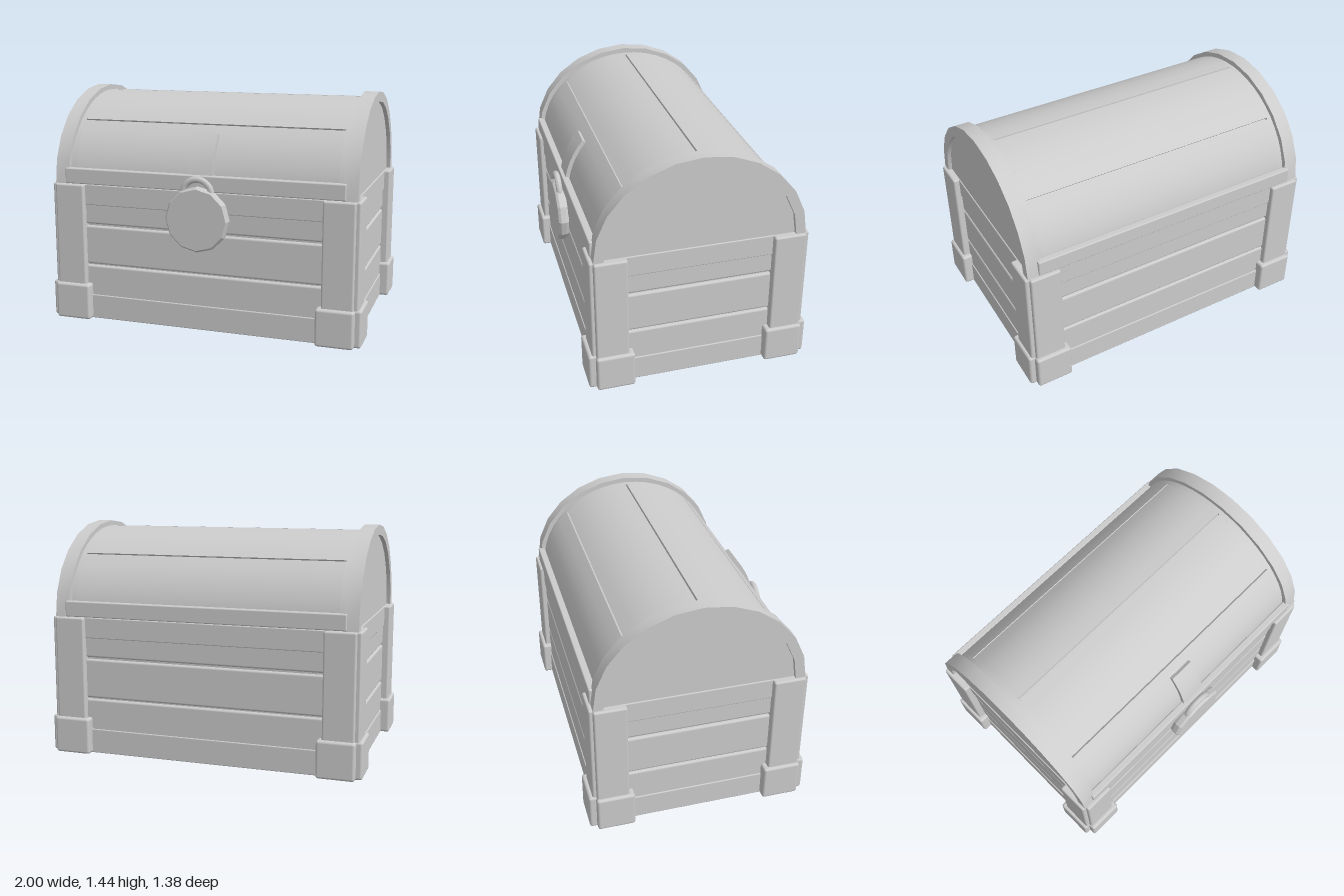
import * as THREE from 'three';
import { toCreasedNormals } from 'three/addons/utils/BufferGeometryUtils.js';
import { RoundedBoxGeometry } from 'three/addons/geometries/RoundedBoxGeometry.js';

const MID_Z = -0.005, BASE_Y = 0.87;

export function createModel() {
  const chest = new THREE.Group();
  chest.name = 'chest';
  const grey = new THREE.MeshStandardMaterial({ color: 0xcccccc });
  grey.name = 'plain grey';

  const add = (name, geometry, parent = chest) => {
    const mesh = new THREE.Mesh(geometry, grey);
    mesh.name = name;
    parent.add(mesh);
    return mesh;
  };
  // box given by its limits, with softened edges
  const box = (name, x0, x1, y0, y1, z0, z1, r = 0.012, parent = chest) => {
    const size = [x1 - x0, y1 - y0, z1 - z0];
    const geometry = r ? new RoundedBoxGeometry(...size, 2, r) : new THREE.BoxGeometry(...size);
    add(name, geometry, parent).position.set((x0 + x1) / 2, (y0 + y1) / 2, (z0 + z1) / 2);
  };
  // elliptical arch point; angle in degrees from the top, positive to the front
  const archPoint = (deg, rz, ry) => {
    const a = THREE.MathUtils.degToRad(deg);
    return new THREE.Vector2(-rz * Math.sin(a), ry * Math.cos(a));
  };
  // curved band between two arches, or a solid arch if there is no inner one
  const arch = (name, a0, a1, outer, inner, x0, x1, steps, parent) => {
    const points = [];
    for (let i = 0; i <= steps; i++) points.push(archPoint(a0 + (a1 - a0) * i / steps, ...outer));
    if (inner) for (let i = steps; i >= 0; i--) points.push(archPoint(a0 + (a1 - a0) * i / steps, ...inner));
    const geometry = new THREE.ExtrudeGeometry(new THREE.Shape(points), { depth: x1 - x0, bevelEnabled: false });
    geometry.rotateY(Math.PI / 2);
    geometry.translate(x0, BASE_Y, 0);
    add(name, toCreasedNormals(geometry, 0.5), parent);
  };

  // body and lid are symmetrical front to back
  const body = new THREE.Group(), lid = new THREE.Group();
  body.name = 'body';
  lid.name = 'lid';
  body.position.z = lid.position.z = MID_Z;
  chest.add(body, lid);

  // plank layers around a slightly smaller core
  box('bodyCore', -0.915, 0.915, 0.012, 0.868, -0.605, 0.605, 0, body);
  for (const [y0, y1] of [[0.14, 0.348], [0.357, 0.605], [0.617, 0.76]]) {
    box('plankLayer', -0.935, 0.935, y0, y1, -0.625, 0.625, 0.014, body);
  }

  // bottom and top rails
  for (const [name, y0, y1] of [['bottomRail', 0, 0.155], ['topRail', 0.74, 0.87]]) {
    for (const s of [-1, 1]) {
      const z = s * 0.62, x = s * 0.93;
      box(name, -0.94, 0.94, y0, y1, z - 0.012, z + 0.012, 0.006, body);
      box(name, x - 0.012, x + 0.012, y0, y1, -0.63, 0.63, 0.006, body);
    }
  }

  // corner posts and feet, each made of a front plate and a side plate
  for (const sx of [-1, 1]) for (const sz of [-1, 1]) {
    const corner = new THREE.Group();
    corner.name = 'corner';
    const plate = (name, x0, x1, y0, y1, z0, z1, r) => box(name,
      Math.min(sx * x0, sx * x1), Math.max(sx * x0, sx * x1), y0, y1,
      Math.min(sz * z0, sz * z1), Math.max(sz * z0, sz * z1), r, corner);
    plate('postFront', 0.76, 0.953, 0.18, 0.87, 0.57, 0.66, 0.012);
    plate('postSide', 0.88, 0.98, 0.18, 0.87, 0.44, 0.637, 0.012);
    plate('footFront', 0.73, 0.962, 0, 0.23, 0.57, 0.685, 0.016);
    plate('footSide', 0.88, 1.0, 0, 0.23, 0.41, 0.642, 0.016);
    body.add(corner);
  }

  // vaulted lid: inner shell, four curved planks and bands closing the groove ends
  arch('lidShell', -90, 90, [0.585, 0.52], null, -0.935, 0.935, 12, lid);
  for (let i = 0; i < 4; i++) {
    const a = -90 + 45 * i;
    arch('lidPlank', a + 0.5, a + 44.5, [0.605, 0.54], [0.57, 0.505], -0.84, 0.84, 6, lid);
  }
  for (const s of [-1, 1]) {
    const x = s * 0.86, rib = s * 0.915;
    arch('lidPlankEnd', -90, 90, [0.605, 0.54], [0.57, 0.505], x - 0.02, x + 0.02, 24, lid);
    arch('lidRib', -90, 90, [0.635, 0.573], [0.575, 0.511], rib - 0.045, rib + 0.045, 12, lid);
    box('lidRim', -0.89, 0.89, 0.872, 0.97, s * 0.62 - 0.022, s * 0.62 + 0.022, 0.008, lid);
  }

  // curved hasp on the lid front
  arch('hasp', 53, 80, [0.63, 0.565], [0.595, 0.53], -0.08, 0.08, 5, lid);

  // round twelve-sided padlock with bevelled rims
  const profile = [[0, 0.625], [0.19, 0.625], [0.2, 0.645], [0.2, 0.675], [0.188, 0.69], [0, 0.69]]
    .map(([r, h]) => new THREE.Vector2(r, h));
  const lockGeometry = new THREE.LatheGeometry(profile, 12);
  lockGeometry.rotateX(Math.PI / 2);
  const lock = add('padlock', toCreasedNormals(lockGeometry, 0.4));
  lock.position.y = 0.708;

  // padlock shackle
  const shackle = add('shackle', new THREE.TorusGeometry(0.09, 0.02, 8, 16, Math.PI));
  shackle.position.set(0, 0.862, 0.66);

  return chest;
}
